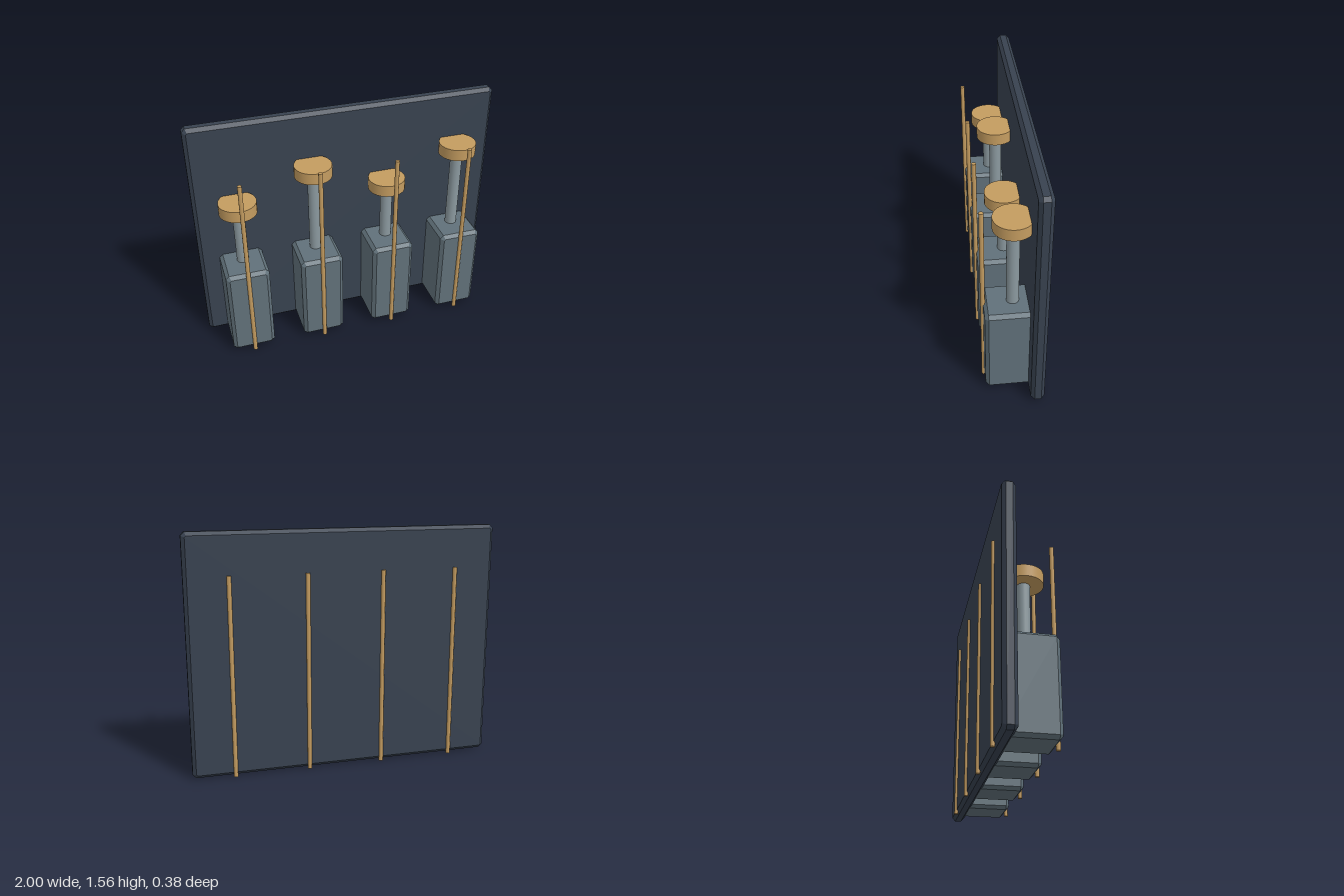
import * as THREE from 'three';

const mat = (name, color) => {
  const m = new THREE.MeshStandardMaterial({ color });
  m.name = name;
  return m;
};

// Box with every edge chamfered by b, centred on the origin
function chamferBox(w, h, d, b) {
  const x = w / 2 - b, y = h / 2 - b, c = 0.414 * b;
  const outline = [
    [x - c, -y], [x, -y + c], [x, y - c], [x - c, y],
    [-x + c, y], [-x, y - c], [-x, -y + c], [-x + c, -y],
  ].map(([px, py]) => new THREE.Vector2(px, py));
  const geo = new THREE.ExtrudeGeometry(new THREE.Shape(outline), {
    depth: d - 2 * b, bevelEnabled: true, bevelSegments: 1, bevelSize: b, bevelThickness: b,
  });
  return geo.translate(0, 0, -(d / 2 - b));
}

export function createModel() {
  const model = new THREE.Group();
  model.name = 'pistonRack';

  const navy = mat('dark navy', 0x384250);
  const slate = mat('slate grey', 0x61717a);
  const steel = mat('light steel', 0x8b999f);
  const brass = mat('brass', 0xc49c60);

  const add = (parent, name, geo, material, x, y, z) => {
    const mesh = new THREE.Mesh(geo, material);
    mesh.name = name;
    mesh.position.set(x, y, z);
    parent.add(mesh);
  };

  // Back panel
  add(model, 'backPanel', chamferBox(2, 1.55, 0.085, 0.022), navy, 0, 0.781, -0.1325);

  const blockGeo = chamferBox(0.28, 0.615, 0.347, 0.022);
  const rodGeo = new THREE.CylinderGeometry(0.014, 0.014, 1.29, 10);
  const capGeo = new THREE.CylinderGeometry(0.12, 0.12, 0.076, 32);

  // Four pistons, alternately low and high
  [-0.733, -0.245, 0.245, 0.73].forEach((x, i) => {
    const unit = new THREE.Group();
    unit.name = `piston${i + 1}`;
    unit.position.x = x;
    const capBottom = i % 2 ? 1.176 : 0.998;

    // Body stops just inside the back face of the panel
    add(unit, 'block', blockGeo, slate, 0, 0.3245, 0.0025);
    const shaftLength = capBottom - 0.6;
    add(unit, 'shaft', new THREE.CylinderGeometry(0.039, 0.039, shaftLength, 20), steel,
      0, 0.6 + shaftLength / 2, 0);
    add(unit, 'cap', capGeo, brass, 0, capBottom + 0.038, 0);

    // Guide rods in front and behind
    add(unit, 'frontRod', rodGeo, brass, 0, 0.645, 0.178);
    add(unit, 'backRod', rodGeo, brass, 0, 0.645, -0.178);
    model.add(unit);
  });

  return model;
}
